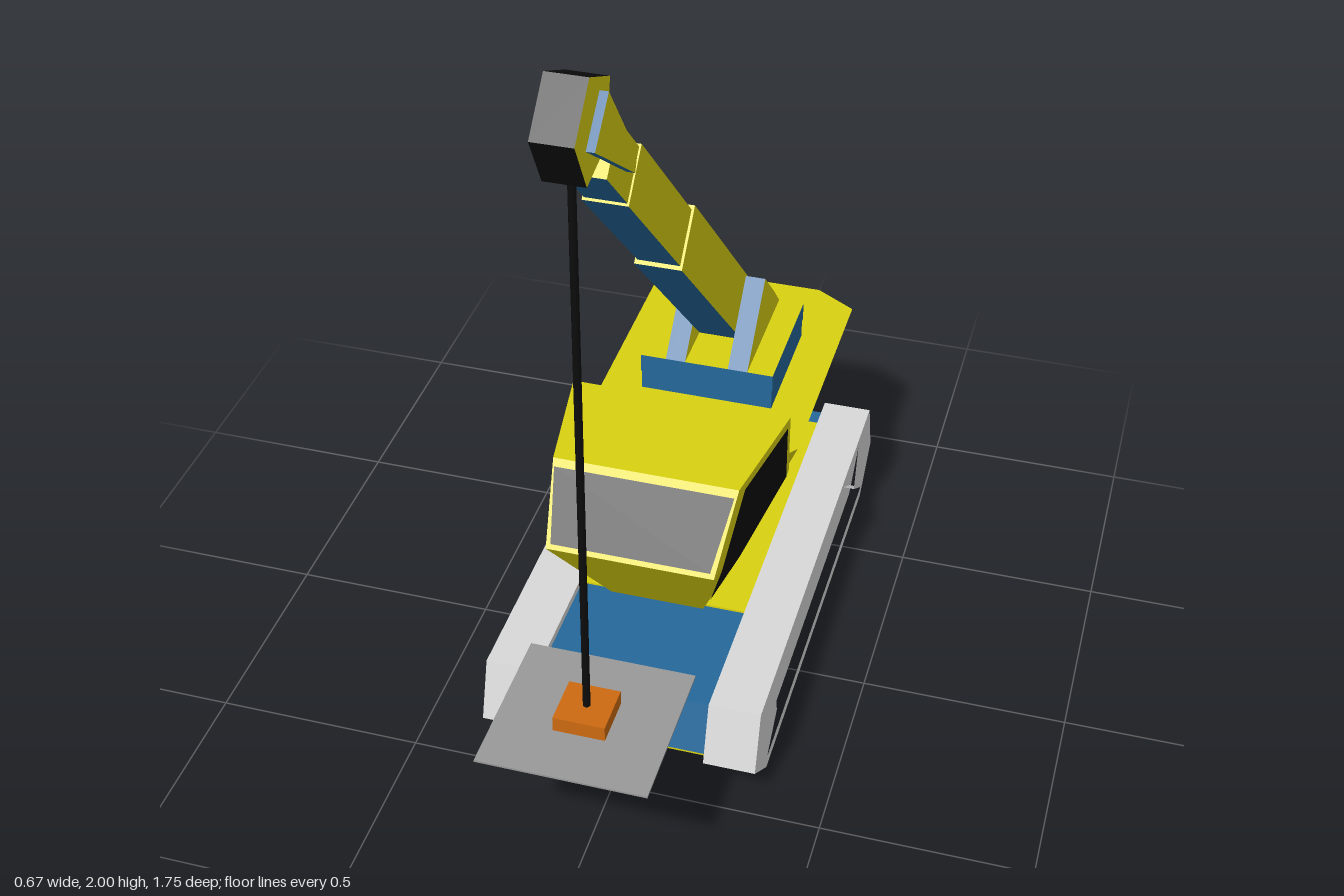
import * as THREE from 'three';
import { ConvexGeometry } from 'three/addons/geometries/ConvexGeometry.js';

const mat = (name, color, side = THREE.FrontSide) => {
  const m = new THREE.MeshStandardMaterial({ color, side });
  m.name = name;
  return m;
};

export function createModel() {
  const root = new THREE.Group();
  root.name = 'crawlerCrane';
  const yellow = mat('yellow', 0xd8d010);
  const blue = mat('blue', 0x24689a);
  const black = mat('black', 0x0c0c0c);
  const lightGrey = mat('lightGrey', 0xd8d8d8);
  const grey = mat('grey', 0x999999);
  const orange = mat('orange', 0xcc6a12);

  const add = (name, geo, material) => {
    const mesh = new THREE.Mesh(geo, material);
    mesh.name = name;
    root.add(mesh);
    return mesh;
  };
  const box = (name, material, x0, x1, y0, y1, z0, z1) => {
    const mesh = add(name, new THREE.BoxGeometry(x1 - x0, y1 - y0, z1 - z0), material);
    mesh.position.set((x0 + x1) / 2, (y0 + y1) / 2, (z0 + z1) / 2);
    return mesh;
  };
  // Side profile of [z, y] points extruded from x0 to x1; materials are [sides, rim]
  const profile = (name, material, pts, x0, x1, hole) => {
    const toV = (p) => new THREE.Vector2(p[0], p[1]);
    const shape = new THREE.Shape(pts.map(toV));
    if (hole) shape.holes.push(new THREE.Path(hole.map(toV)));
    const geo = new THREE.ExtrudeGeometry(shape, { depth: x1 - x0, bevelEnabled: false });
    geo.rotateY(-Math.PI / 2).translate(x1, 0, 0);
    return add(name, geo, material);
  };
  // Convex solid from half of its corners, mirrored across x
  const mirrored = (name, material, pts) => add(name, new ConvexGeometry(
    pts.flatMap(([x, y, z]) => [new THREE.Vector3(x, y, z), new THREE.Vector3(-x, y, z)])), material);
  // Flat polygons turned to face away from a centre point
  const faces = (name, material, polys, centre) => {
    const pos = [];
    const c = new THREE.Vector3(...centre);
    for (const poly of polys) {
      const v = poly.map((p) => new THREE.Vector3(...p));
      for (let i = 1; i < v.length - 1; i++) {
        const n = v[i].clone().sub(v[0]).cross(v[i + 1].clone().sub(v[0]));
        const out = n.dot(v[0].clone().sub(c)) > 0;
        for (const p of out ? [v[0], v[i], v[i + 1]] : [v[0], v[i + 1], v[i]]) pos.push(p.x, p.y, p.z);
      }
    }
    const geo = new THREE.BufferGeometry();
    geo.setAttribute('position', new THREE.Float32BufferAttribute(pos, 3));
    geo.computeVertexNormals();
    return add(name, geo, material);
  };
  const flip = (poly) => poly.map(([x, y, z]) => [-x, y, z]);
  const both = (polys) => [...polys, ...polys.map(flip)];

  // Tracks with a recessed outer panel
  const trackOutline = [[0.42, 0.24], [0.465, 0.095], [0.345, 0], [-0.725, 0], [-0.845, 0.095], [-0.8, 0.24]];
  const recess = [[0.28, 0.22], [0.25, 0.1], [0.34, 0.03], [-0.725, 0.03], [-0.625, 0.1], [-0.66, 0.22]];
  for (const [side, inner, rim] of [['left', [0.21, 0.305], [0.305, 0.335]], ['right', [-0.305, -0.21], [-0.335, -0.305]]]) {
    profile(side + 'Track', lightGrey, trackOutline, ...inner);
    profile(side + 'TrackRim', lightGrey, trackOutline, ...rim, recess);
  }

  // Undercarriage, its deck and underside
  profile('undercarriage', blue, [[0.4, 0.22], [0.44, 0.1], [-0.82, 0.1], [-0.78, 0.22]], -0.21, 0.21);
  box('undersidePlate', yellow, -0.21, 0.21, 0.095, 0.1, -0.82, 0.44);
  box('deckPlate', yellow, -0.21, 0.21, 0.22, 0.225, -0.725, 0.07);
  box('slewBase', yellow, -0.07, 0.07, 0.22, 0.26, -0.725, 0.07);

  // Cab: half width depends on height and narrows toward the front
  const cabX = (y, z) => (y >= 0.56 ? 0.27 : 0.15 + 0.4 * (y - 0.26)) - 0.16 * (z + 0.085);
  const cabPoint = (z, y, out = 0) => [cabX(y, z) + out, y, z];
  mirrored('cab', yellow, [[0.215, 0.72], [-0.085, 0.72], [-0.085, 0.56], [-0.085, 0.26],
    [0.125, 0.26], [0.35, 0.56]].map(([z, y]) => cabPoint(z, y)));
  const cabCentre = [0, 0.5, 0.05];
  const upperGlass = [[0.19, 0.705], [-0.06, 0.705], [-0.06, 0.56], [0.315, 0.56]];
  const lowerGlass = [[0.315, 0.56], [-0.06, 0.56], [-0.06, 0.285], [0.115, 0.285]];
  faces('sideWindows', black, both([upperGlass, lowerGlass].map((g) => g.map(([z, y]) => cabPoint(z, y, 0.004)))), cabCentre);
  faces('windshield', black, [[[-0.215, 0.707, 0.231], [0.215, 0.707, 0.231], [0.19, 0.572, 0.345], [-0.19, 0.572, 0.345]]], cabCentre);

  // Link between cab and engine house
  mirrored('cabLink', blue, [[0.268, 0.553, -0.085], [0.15, 0.26, -0.085], [0.233, 0.553, -0.13], [0.12, 0.26, -0.13]]);

  // Engine house: chamfered top outline tapering to a narrow base, two-tone sides
  const [a, b, c, d] = [[0.235, -0.13], [0.27, -0.18], [0.27, -0.81], [0.165, -0.875]].map(([x, z]) => [x, 0.555, z]);
  const [a2, b2, c2, d2] = [[0.12, -0.13], [0.15, -0.18], [0.15, -0.81], [0.09, -0.875]].map(([x, z]) => [x, 0.26, z]);
  const houseCentre = [0, 0.42, -0.5];
  const ring = (pts) => [...pts, ...flip(pts).reverse()];
  faces('engineHouse', yellow, [ring([a, b, c, d]), ring([a2, b2, c2, d2]), ring([d, d2]),
    ...both([[a, b, b2], [b, c, b2]])], houseCentre);
  faces('engineHouseLowerPanels', blue, [ring([a, a2]),
    ...both([[a, b2, a2], [b2, c, c2], [c, d, d2, c2]])], houseCentre);

  // Boom pedestal: blue sides, yellow top
  const blueSides = [blue, blue, yellow, yellow, blue, blue];
  box('pedestalLower', blueSides, -0.168, 0.168, 0.555, 0.607, -0.653, -0.322);
  box('pedestalUpper', blueSides, -0.17, 0.17, 0.607, 0.655, -0.655, -0.32);

  // Paired plates: boom brackets and head fork
  const bracket = [[-0.32, 0.655], [-0.49, 0.825], [-0.59, 0.725], [-0.655, 0.655]];
  const fork = [[0.725, 1.865], [0.635, 1.945], [0.46, 1.715], [0.476, 1.68]];
  for (const [side, s] of [['left', 1], ['right', -1]]) {
    const span = (p, q) => (s > 0 ? [p, q] : [-q, -p]);
    profile(side + 'BoomBracket', [yellow, blue], bracket, ...span(0.055, 0.105));
    profile(side + 'HeadFork', [yellow, blue], fork, ...span(0.045, 0.063));
  }

  // Telescopic boom at 45 degrees: [start, end, half width, thickness]
  const boomSections = [[0.11, 0.935, 0.055, 0.15], [0.9, 1.468, 0.049, 0.13], [1.44, 1.652, 0.045, 0.118]];
  boomSections.forEach(([s0, s1, w, t], i) => {
    const mesh = add('boomSection' + (i + 1), new THREE.BoxGeometry(w * 2, t, s1 - s0),
      [yellow, yellow, blue, blue, yellow, yellow]);
    const s = (s0 + s1) / 2, u = 0.86;
    mesh.position.set(0, (s + u) / Math.SQRT2, (s - u) / Math.SQRT2);
    mesh.rotation.x = -Math.PI / 4;
  });

  // Pulley head and cable
  profile('pulleyHead', [yellow, black],
    [[0.785, 1.905], [0.69, 2], [0.568, 1.94], [0.585, 1.81], [0.72, 1.785]], -0.044, 0.044);
  const cable = add('cable', new THREE.CylinderGeometry(0.009, 0.009, 1.4, 8), black);
  cable.position.set(0, 1.12, 0.677);

  // Hook block and load tray
  box('hookBlock', orange, -0.06, 0.06, 0.385, 0.425, 0.617, 0.737);
  mirrored('loadTray', orange, [[0.196, 0.383, 0.87], [0.196, 0.383, 0.485], [0.145, 0.347, 0.8], [0.145, 0.347, 0.555]]);
  box('loadTrayTop', grey, -0.196, 0.196, 0.383, 0.388, 0.485, 0.87);

  return root;
}
